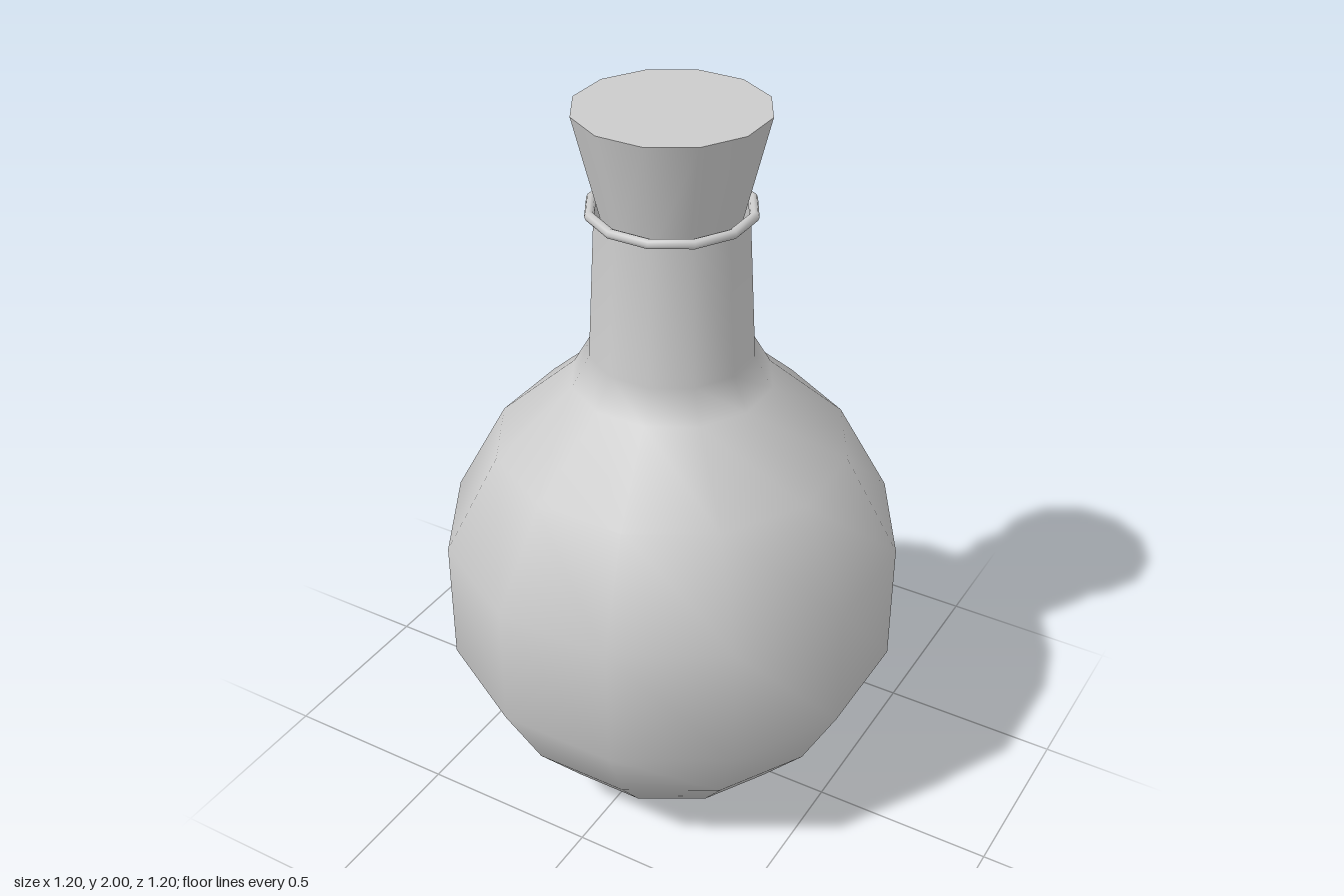
import * as THREE from 'three';

const SIDES = 12;
const TURN = Math.PI / SIDES; // flat sides face the axes
const corner = (halfWidth) => halfWidth / Math.cos(TURN);

export function createModel() {
  const group = new THREE.Group();
  const material = new THREE.MeshStandardMaterial({ color: 0xcccccc, side: THREE.DoubleSide });

  const add = (name, geometry, x = 0, y = 0, z = 0) => {
    const mesh = new THREE.Mesh(geometry, material);
    mesh.name = name;
    mesh.position.set(x, y, z);
    group.add(mesh);
  };

  // Round body and neck in one profile: half width, height
  const profile = [
    [0, 0.005], [0.355, 0.08], [0.492, 0.245], [0.601, 0.457], [0.601, 0.805],
    [0.46, 1.075], [0.26, 1.26], [0.213, 1.345], [0.193, 1.735],
  ].map(([r, y]) => new THREE.Vector2(corner(r), y));
  add('flaskBody', new THREE.LatheGeometry(profile, SIDES, TURN));

  // Thin rolled lip around the mouth
  const lip = new THREE.TorusGeometry(corner(0.202), 0.013, 8, SIDES);
  lip.rotateX(Math.PI / 2).rotateY(TURN);
  add('neckRing', lip, -0.002, 1.737, -0.002);

  // Tapered stopper, its lower end sunk into the neck
  const stopper = new THREE.CylinderGeometry(corner(0.241), corner(0.169), 0.3, SIDES);
  stopper.rotateY(TURN);
  add('stopper', stopper, -0.002, 1.85, -0.002);

  return group;
}
